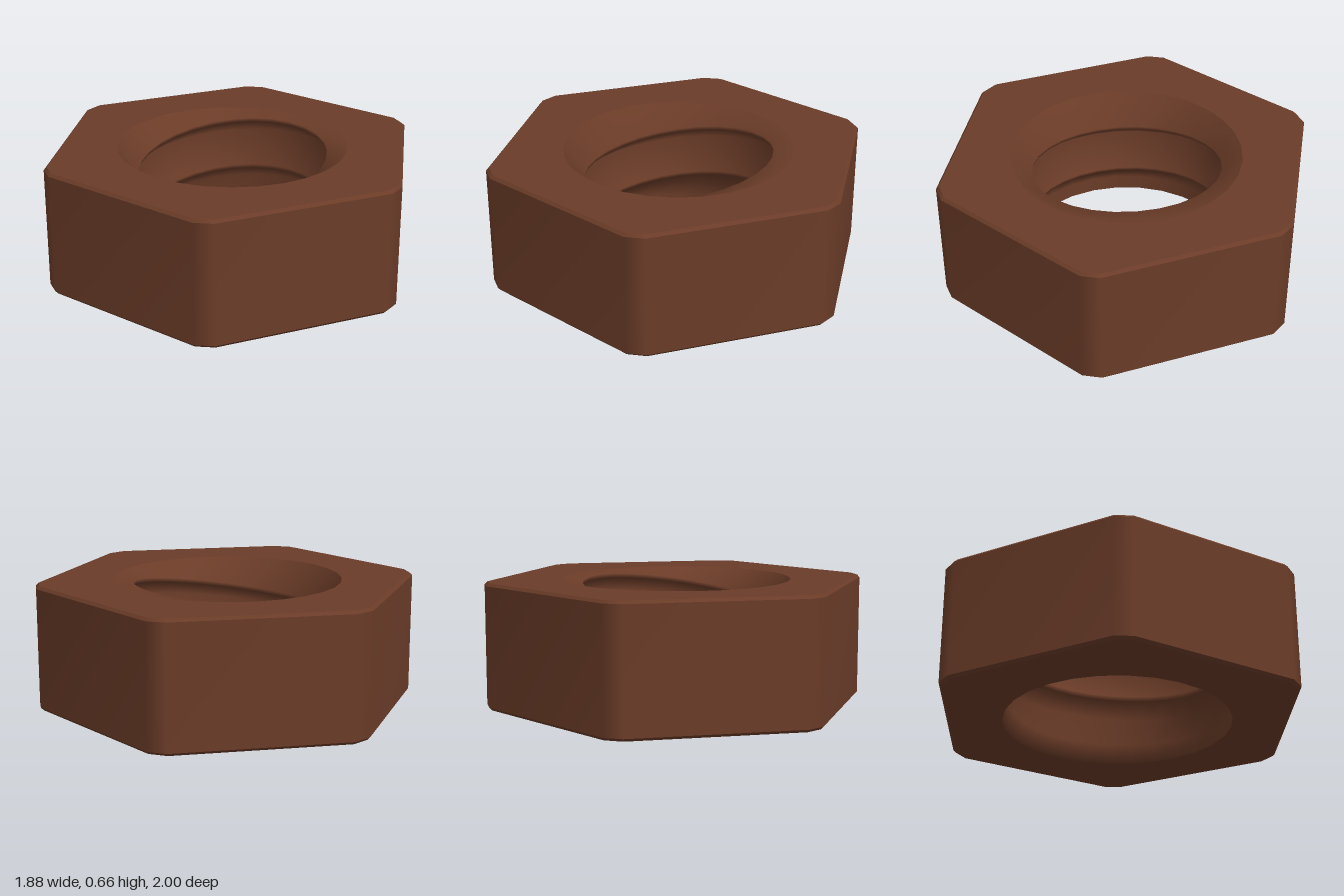
import * as THREE from 'three';

const HEIGHT = 0.66;
const RIM = 0.6;      // thread root and rim radius
const BORE = 0.495;   // thread crest radius
const SEGMENTS = 28;

// Half of the chamfered hexagon as (x, -z); the other half is its point mirror
const half = [[0.17, 0.99], [0.07, 1.0], [-0.77, 0.637], [-0.828, 0.555], [-0.938, -0.345], [-0.9, -0.435]];
const outline = [...half, ...half.map(([x, y]) => [-x, -y])];

// Joins closed rings of [x, y, z] points into a smooth band; rising rings face outward
function loft(rings) {
  const n = rings[0].length;
  const index = [];
  for (let i = 0; i < rings.length - 1; i++) {
    for (let j = 0; j < n; j++) {
      const k = (j + 1) % n;
      const a = i * n + j, b = i * n + k, c = (i + 1) * n + k, d = (i + 1) * n + j;
      index.push(a, b, c, a, c, d);
    }
  }
  const geometry = new THREE.BufferGeometry();
  geometry.setAttribute('position', new THREE.Float32BufferAttribute(rings.flat(2), 3));
  geometry.setIndex(index);
  geometry.computeVertexNormals();
  return geometry;
}

// Hexagon ring at a height, slightly inset for the chamfer
const hexRing = (y, scale) => outline.map(([x, v]) => [x * scale, y, -v * scale]);

// Circular ring whose depth and radius depend on the lean c (1 at back left, -1 opposite)
function boreRing(depth, radius) {
  const ring = [];
  for (let j = 0; j < SEGMENTS; j++) {
    const a = (j / SEGMENTS) * Math.PI * 2;
    const c = Math.cos(a - Math.PI / 4);
    const r = radius(c);
    ring.push([r * Math.cos(a), HEIGHT - depth(c), -r * Math.sin(a)]);
  }
  return ring;
}

// Flat hexagonal face with a round hole
function face(top) {
  const s = top ? 1 : -1;
  const shape = new THREE.Shape(outline.map(([x, v]) => new THREE.Vector2(x * 0.985, s * v * 0.985)));
  const hole = boreRing(() => 0, () => RIM).map(([x, , z]) => new THREE.Vector2(x, -s * z));
  shape.holes.push(new THREE.Path(hole));
  const geometry = new THREE.ShapeGeometry(shape);
  geometry.rotateX(-s * Math.PI / 2);
  geometry.translate(0, top ? HEIGHT : 0, 0);
  return geometry;
}

export function createModel() {
  const group = new THREE.Group();
  const rust = new THREE.MeshStandardMaterial({ name: 'rustBrown', color: 0x6b3c28 });
  const add = (name, geometry) => {
    const mesh = new THREE.Mesh(geometry, rust);
    mesh.name = name;
    group.add(mesh);
  };

  // Outer body
  add('hexSides', loft([hexRing(0.015, 1), hexRing(HEIGHT - 0.015, 1)]));
  add('topChamfer', loft([hexRing(HEIGHT - 0.015, 1), hexRing(HEIGHT, 0.985)]));
  add('bottomChamfer', loft([hexRing(0, 0.985), hexRing(0.015, 1)]));
  add('topFace', face(true));
  add('bottomFace', face(false));

  // Leaning thread ridges inside the bore, from the top rim down
  const root = () => RIM;
  const rings = [boreRing(() => 0, root)];
  for (const start of [0.09, 0.365]) {
    const crest = (c) => start - 0.08 * c;
    rings.push(boreRing(crest, () => BORE));
    rings.push(boreRing((c) => crest(c) + 0.025, () => BORE + 0.01));
    rings.push(boreRing((c) => crest(c) + 0.1, root));
  }
  // Last ridge fades out towards the front right
  rings.push(boreRing(() => 0.58, (c) => RIM - 0.09 * Math.max(0, c)));
  rings.push(boreRing(() => HEIGHT, root));
  add('threadedBore', loft(rings));

  return group;
}
